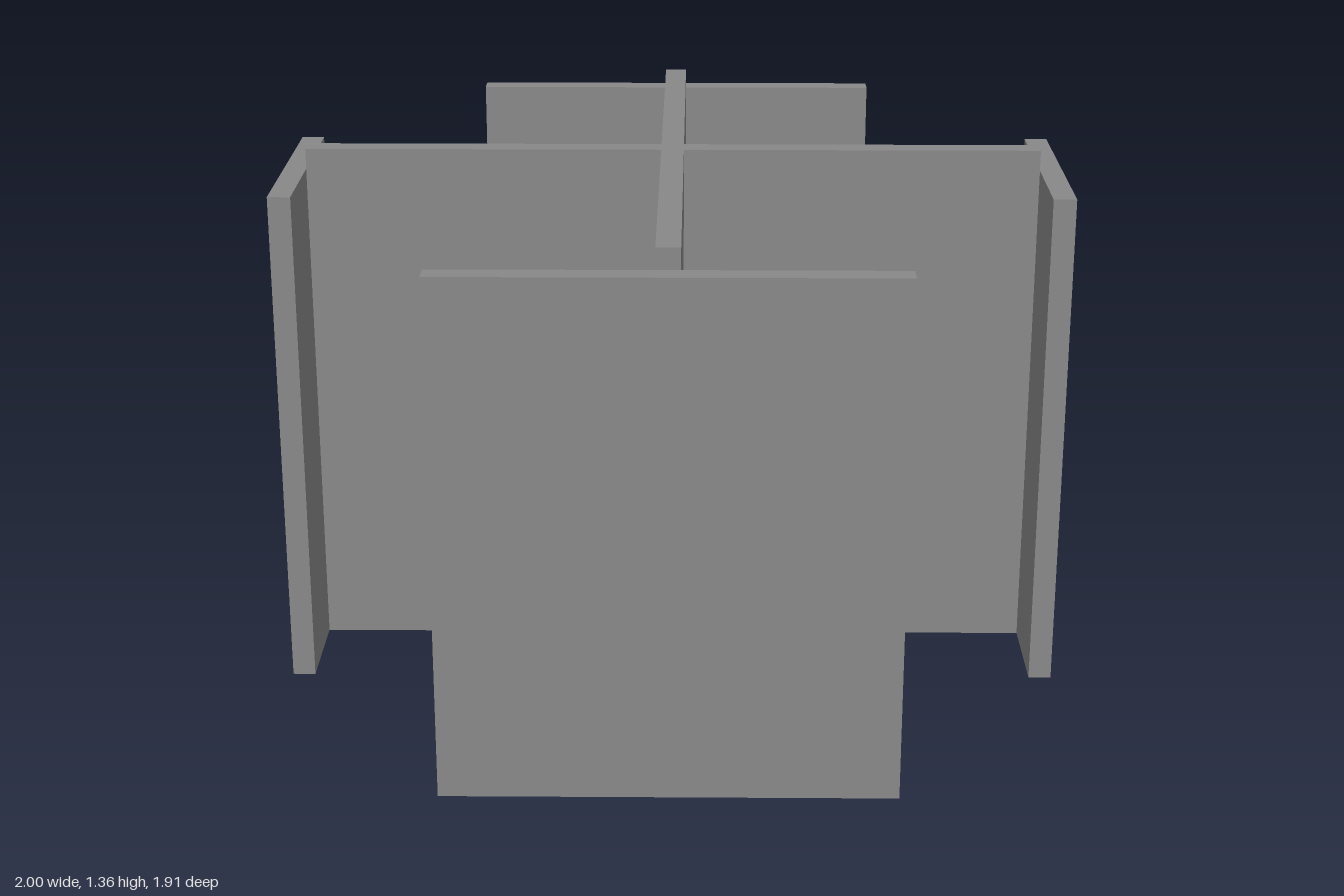
import * as THREE from 'three';

const T = 0.058;          // sheet thickness
const X = 1, Z = 0.957;   // outer half extents
const WEB_H = 1.358, PLATE_H = 1.305;

export function createModel() {
  const model = new THREE.Group();
  const material = new THREE.MeshStandardMaterial({ color: 0x888888 });

  // Crossed webs: one plus-shaped section raised to full height
  const t = T / 2, a = X - T, b = Z - T;
  const plus = new THREE.Shape([
    [a, -t], [a, t], [t, t], [t, b], [-t, b], [-t, t],
    [-a, t], [-a, -t], [-t, -t], [-t, -b], [t, -b], [t, -t],
  ].map(([x, y]) => new THREE.Vector2(x, y)));
  const webs = new THREE.Mesh(
    new THREE.ExtrudeGeometry(plus, { depth: WEB_H, bevelEnabled: false }).rotateX(-Math.PI / 2),
    material,
  );
  webs.name = 'crossWebs';
  model.add(webs);

  // Upright end plates, slightly lower than the webs
  const addPlate = (name, width, depth, x, z) => {
    const plate = new THREE.Mesh(new THREE.BoxGeometry(width, PLATE_H, depth), material);
    plate.name = name;
    plate.position.set(x, PLATE_H / 2, z);
    model.add(plate);
  };
  for (const s of [1, -1]) {
    addPlate(s > 0 ? 'frontPlate' : 'backPlate', 1.108, T, 0, s * (Z - t));
    addPlate(s > 0 ? 'leftPlate' : 'rightPlate', T, 0.602, s * (X - t), 0);
  }
  return model;
}
